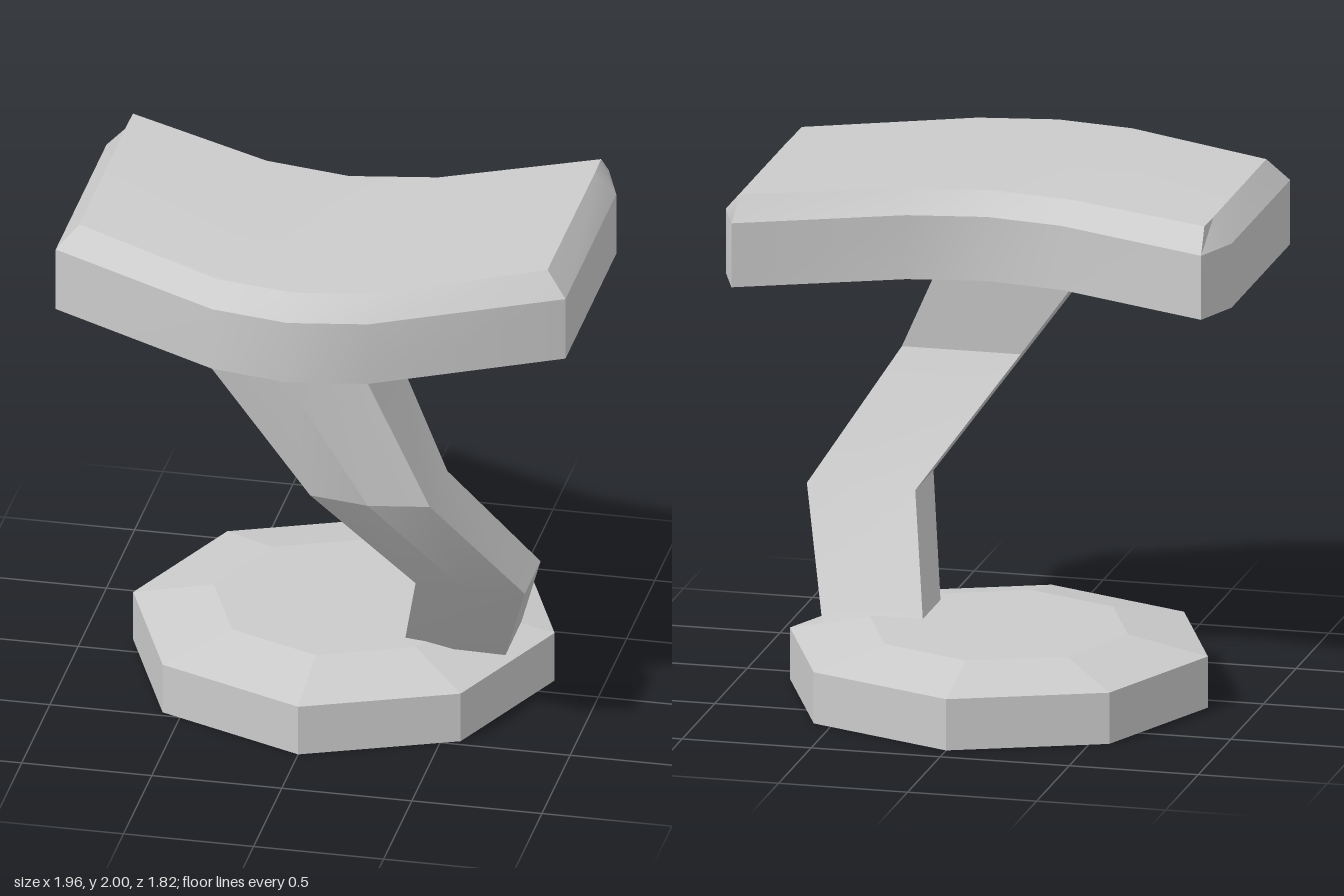
import * as THREE from 'three';
import { toCreasedNormals } from 'three/addons/utils/BufferGeometryUtils.js';

const CREASE = 0.43;

// Closed solid from rings of [x, y, z] points, each counterclockwise seen from above, lowest ring first.
function loft(rings) {
  const n = rings[0].length;
  const index = [];
  for (let r = 0; r < rings.length - 1; r++) {
    for (let i = 0; i < n; i++) {
      const j = (i + 1) % n;
      const a = r * n + i, b = r * n + j, c = b + n, d = a + n;
      index.push(a, b, c, a, c, d);
    }
  }
  const cap = (r, up) => {
    const outline = rings[r].map(([x, , z]) => new THREE.Vector2(x, -z));
    for (const [a, b, c] of THREE.ShapeUtils.triangulateShape(outline, [])) {
      const ccw = THREE.ShapeUtils.area([outline[a], outline[b], outline[c]]) > 0;
      const tri = ccw === up ? [a, b, c] : [a, c, b];
      index.push(...tri.map((k) => k + r * n));
    }
  };
  cap(0, false);
  cap(rings.length - 1, true);
  const geometry = new THREE.BufferGeometry();
  geometry.setAttribute('position', new THREE.Float32BufferAttribute(rings.flat(2), 3));
  geometry.setIndex(index);
  return toCreasedNormals(geometry, CREASE);
}

// Full outline from the +x half, running from front centre to back centre.
function mirrored(half) {
  const other = half.slice(1, -1).reverse().map(([x, y, z]) => [-x, y, z]);
  return [...half, ...other];
}

export function createModel() {
  const group = new THREE.Group();
  const material = new THREE.MeshStandardMaterial({ color: 0xcccccc });
  const add = (name, geometry, mat = material) => {
    const mesh = new THREE.Mesh(geometry, mat);
    mesh.name = name;
    group.add(mesh);
    return mesh;
  };

  // Hollow eight-sided foot, open underneath
  const footProfile = [[0.81, 0], [0.81, 0.2], [0.5, 0.265], [0, 0.265]]
    .map(([x, y]) => new THREE.Vector2(x, y));
  const shell = new THREE.MeshStandardMaterial({
    color: 0xcccccc, flatShading: true, side: THREE.DoubleSide,
  });
  add('base', new THREE.LatheGeometry(footProfile, 8), shell).position.z = -0.1;

  // Bent stem, five-sided with a ridge along its front:
  // [y, right x, ridge x, left x, back z, corner z, ridge z]
  const stemSections = [
    [0.2, 0.28, 0.475, 0.67, -0.14, 0.13, 0.16],
    [0.67, 0.41, 0.62, 0.83, 0.24, 0.52, 0.56],
    [1.15, 0.07, 0.3, 0.53, 0.51, 0.82, 0.86],
    [1.66, -0.3, 0, 0.3, 0.46, 0.855, 0.908],
  ];
  add('stem', loft(stemSections.map(([y, x0, xm, x1, zb, zc, zr]) => [
    [xm, y, zr], [x1, y, zc], [x1, y, zb], [x0, y, zb], [x0, y, zc],
  ])));

  // Curved seat slab with a chamfered top edge
  const outer = [[0, 0.908], [0.3, 0.855], [0.98, 0.49], [0.98, -0.41], [0.91, -0.6], [0.3, -0.33], [0, -0.28]];
  const inner = [[0, 0.81], [0.3, 0.76], [0.9, 0.44], [0.902, -0.38], [0.9, -0.51], [0.33, -0.25], [0, -0.19]];
  const level = (half, y, dip = 0) =>
    mirrored(half.map(([x, z]) => [x, x < 0.5 ? y - dip : y, z]));
  add('seat', loft([level(outer, 1.66), level(outer, 1.91), level(inner, 2, 0.01)]));

  return group;
}
